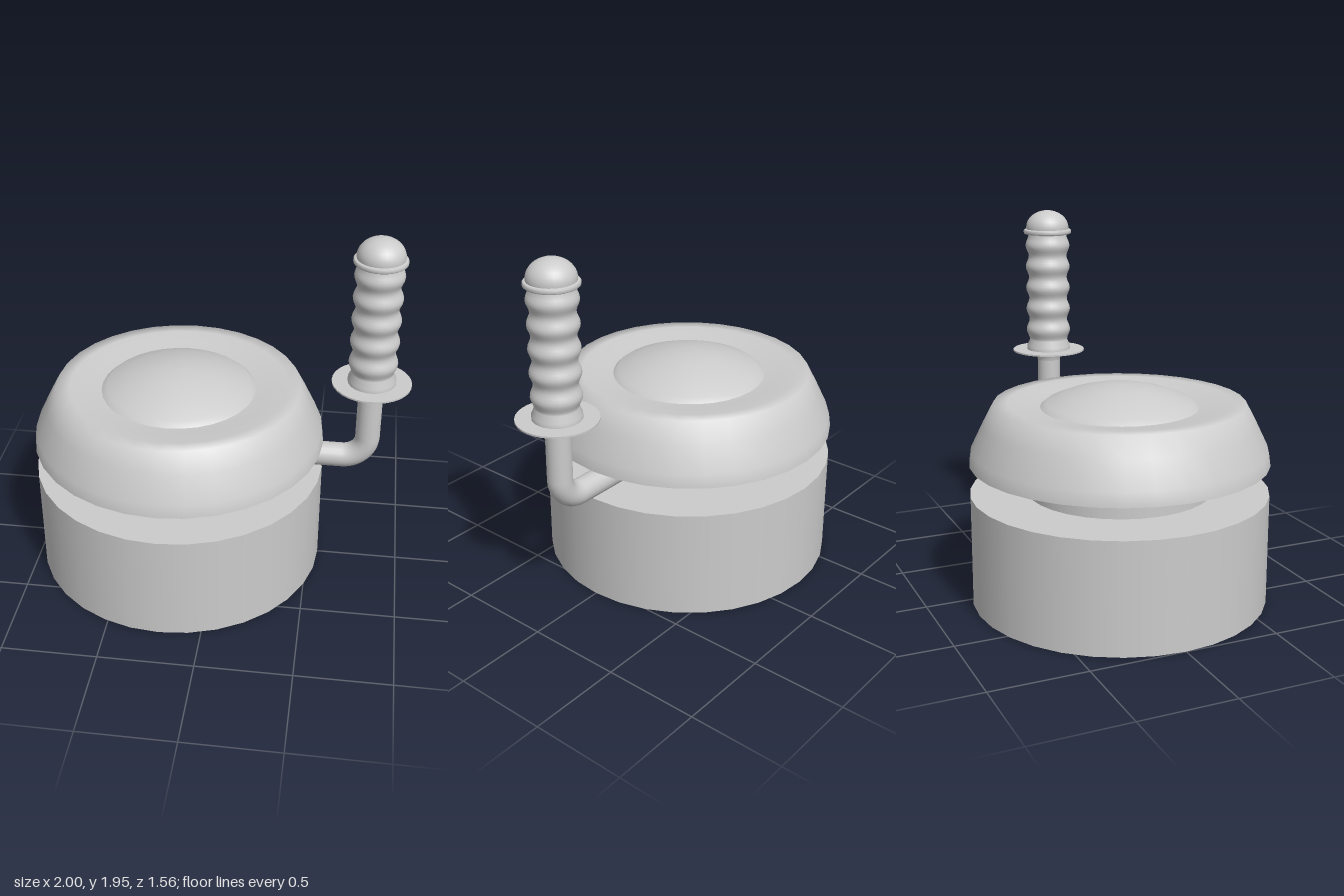
import * as THREE from 'three';

const material = new THREE.MeshStandardMaterial({ color: 0xcccccc, side: THREE.DoubleSide });
const BODY_X = -0.22, GRIP_X = 0.793;

// Revolves one or more smooth runs of [radius, height] points; separate runs meet at a sharp edge
function turned(name, x, sides, ...runs) {
  const group = new THREE.Group();
  group.name = name;
  group.position.x = x;
  for (const run of runs) {
    const points = run.map(([r, y]) => new THREE.Vector2(r, y));
    const mesh = new THREE.Mesh(new THREE.LatheGeometry(points, sides), material);
    mesh.name = name + 'Surface';
    group.add(mesh);
  }
  return group;
}

export function createModel() {
  const model = new THREE.Group();
  model.name = 'crankCanister';

  // Drum, open underneath, with a hollow inside
  model.add(turned('drum', BODY_X, 32,
    [[0.78, 0], [0.78, 0.585]],
    [[0.78, 0.585], [0, 0.585]],
    [[0.775, 0], [0.775, 0.575], [0, 0.575]]));

  // Narrow neck between drum and lid
  model.add(turned('neck', BODY_X, 32, [[0.485, 0.58], [0.485, 0.75]]));

  // Lid: flared skirt, shallow ring and raised dome
  model.add(turned('lid', BODY_X, 32,
    [[0, 0.745], [0.78, 0.745]],
    [[0.78, 0.745], [0.77, 0.815], [0.705, 0.95], [0.65, 1.055], [0.58, 1.055], [0.48, 1.038], [0.41, 1.03]],
    [[0.41, 1.03], [0.38, 1.055], [0.27, 1.1], [0.15, 1.132], [0.07, 1.142], [0, 1.145]]));

  // Bent crank arm
  const bend = 0.13, armY = 0.675;
  const path = new THREE.CurvePath();
  const p = (x, y) => new THREE.Vector3(x, y, 0);
  path.add(new THREE.LineCurve3(p(0.2, armY), p(GRIP_X - bend, armY)));
  path.add(new THREE.CubicBezierCurve3(p(GRIP_X - bend, armY), p(GRIP_X - bend * 0.45, armY),
    p(GRIP_X, armY + bend * 0.45), p(GRIP_X, armY + bend)));
  path.add(new THREE.LineCurve3(p(GRIP_X, armY + bend), p(GRIP_X, 1.13)));
  const arm = new THREE.Mesh(new THREE.TubeGeometry(path, 64, 0.065, 20), material);
  arm.name = 'crankArm';
  model.add(arm);

  // Flared collar under a thin hand guard
  model.add(turned('armCollar', GRIP_X, 24, [[0.065, 1.08], [0.07, 1.11], [0.085, 1.128], [0.105, 1.136]]));
  model.add(turned('handGuard', GRIP_X, 32,
    [[0, 1.134], [0.207, 1.134]], [[0.207, 1.134], [0.207, 1.143]], [[0.207, 1.143], [0, 1.143]]));

  // Grip with finger waves
  const wave = [[0.125, 1.14], [0.125, 1.165]];
  for (let i = 0; i <= 40; i++) {
    const t = i / 40;
    wave.push([0.118 - 0.009 * Math.cos(t * Math.PI * 10), 1.2 + t * 0.61]);
  }
  model.add(turned('grip', GRIP_X, 28, wave));

  // Collar ring and rounded end cap
  model.add(turned('gripRing', GRIP_X, 28,
    [[0.1, 1.812], [0.13, 1.815], [0.136, 1.82], [0.136, 1.835], [0.13, 1.841], [0.1, 1.843]]));
  const cap = [[0.12, 1.835], [0.122, 1.85]];
  for (let i = 1; i <= 8; i++) {
    const a = (i / 8) * Math.PI / 2;
    cap.push([0.122 * Math.cos(a), 1.85 + 0.098 * Math.sin(a)]);
  }
  model.add(turned('gripCap', GRIP_X, 28, cap));

  return model;
}
